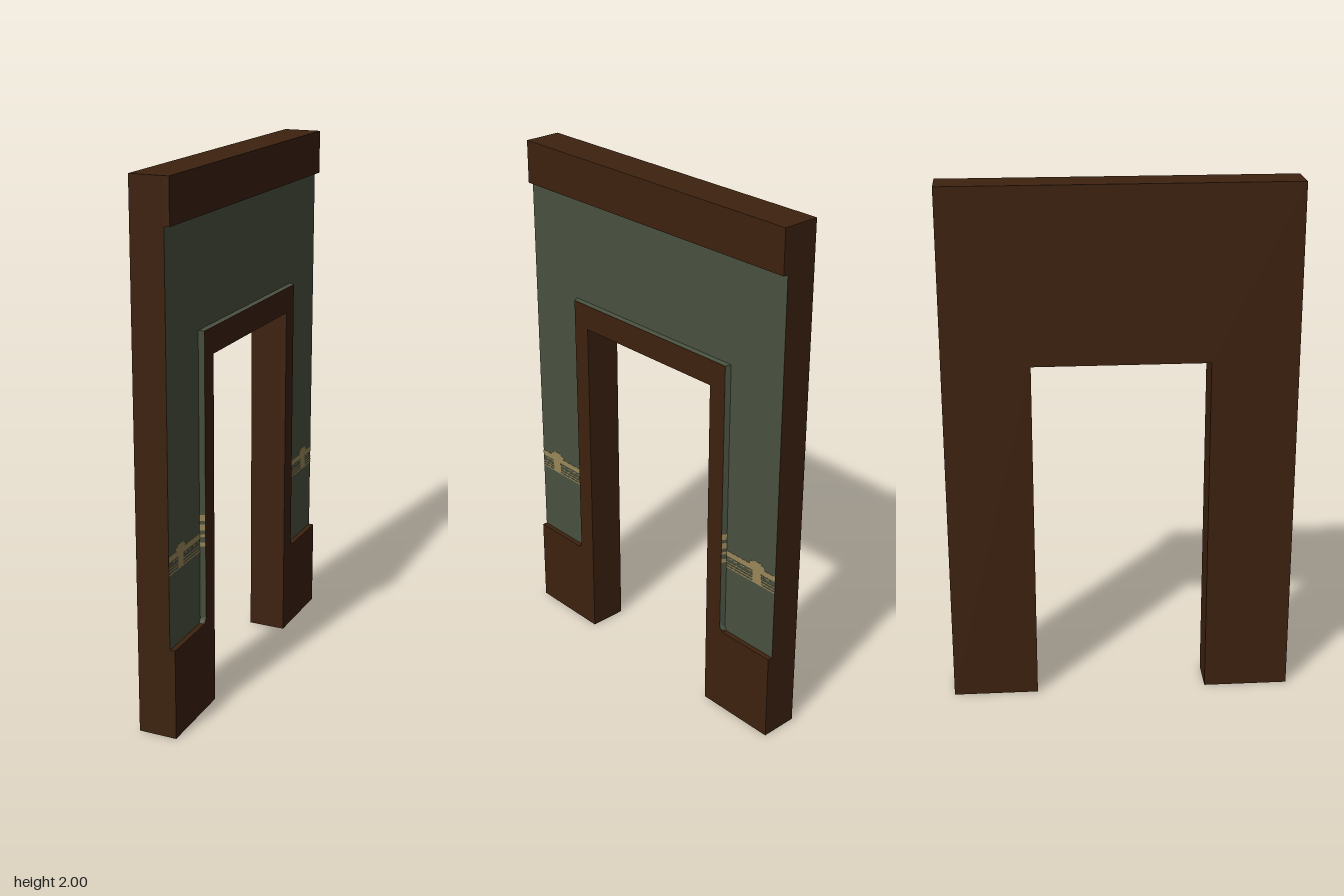
import * as THREE from 'three';

const material = (name, color, side = THREE.FrontSide) => {
  const m = new THREE.MeshStandardMaterial({ color, side });
  m.name = name;
  return m;
};

// Main dimensions: the wall lies in the z-y plane, its decorated face towards +x
const W = 0.655, H = 2, BACK = -0.073, RECESS = 0.053, FACE = 0.073;
const DOOR = 0.33, DOOR_TOP = 1.34, FRAME = 0.403, FRAME_TOP = 1.437;
const BASE = 0.345, LINTEL = 1.837;

export function createModel() {
  const model = new THREE.Group();
  model.name = 'doorwayWall';
  const wood = material('darkWood', 0x3d220f);
  const green = material('greenPlaster', 0x495140, THREE.DoubleSide);
  const tan = material('tanOrnament', 0x9b885a, THREE.DoubleSide);

  const add = (name, geometry, mat) => {
    const mesh = new THREE.Mesh(geometry, mat);
    mesh.name = name;
    model.add(mesh);
    return mesh;
  };
  // Mirrors the half outline to a closed symmetric shape
  const symmetric = (half) => new THREE.Shape([
    ...half.map(([u, v]) => new THREE.Vector2(u, v)),
    ...half.slice().reverse().map(([u, v]) => new THREE.Vector2(-u, v)),
  ]);
  const slab = (name, half, x0, x1) => {
    const g = new THREE.ExtrudeGeometry(symmetric(half), { depth: x1 - x0, bevelEnabled: false });
    add(name, g.rotateY(Math.PI / 2).translate(x0, 0, 0), wood);
  };
  // Ribbon joining two rows of [x, y, z] points
  const ribbon = (name, a, b, mat) => {
    const pos = [];
    for (let i = 0; i < a.length - 1; i++) {
      pos.push(...a[i], ...b[i], ...b[i + 1], ...a[i], ...b[i + 1], ...a[i + 1]);
    }
    const g = new THREE.BufferGeometry();
    g.setAttribute('position', new THREE.Float32BufferAttribute(pos, 3));
    g.computeVertexNormals();
    add(name, g, mat);
  };

  // Wall body with door opening
  slab('wallBody', [[DOOR, DOOR_TOP], [DOOR, 0], [W, 0], [W, H]], BACK, RECESS);
  // Raised door frame joined to the plinths
  slab('doorFrame', [[DOOR, DOOR_TOP], [DOOR, 0], [W, 0], [W, BASE], [0.418, BASE],
    [0.408, 0.352], [FRAME, 0.368], [FRAME, FRAME_TOP]], RECESS, FACE);
  // Raised top beam
  const beam = new THREE.BoxGeometry(FACE - RECESS, H - LINTEL, 2 * W);
  add('topBeam', beam.translate((FACE + RECESS) / 2, (H + LINTEL) / 2, 0), wood);

  // Recessed plaster face
  const panel = new THREE.ShapeGeometry(symmetric(
    [[FRAME, FRAME_TOP], [FRAME, BASE], [W, BASE], [W, LINTEL]]));
  add('plasterPanel', panel.rotateY(Math.PI / 2).translate(RECESS + 0.0006, 0, 0), green);

  // Slightly sloped plaster reveal around the frame
  const front = [[0.408, 0.352], [FRAME, 0.368], [FRAME, FRAME_TOP + 0.001]];
  const back = [[0.422, BASE], [0.412, 0.362], [0.412, FRAME_TOP + 0.003]];
  const row = (pts, x) => [
    ...pts.map(([z, y]) => [x, y, z]),
    ...pts.slice().reverse().map(([z, y]) => [x, y, -z]),
  ];
  ribbon('frameReveal', row(front, FACE - 0.0005), row(back, RECESS), green);

  for (const s of [1, -1]) {
    // Ornamental band: thin painted strips
    const plate = (name, y0, y1, z0, z1) => {
      const g = new THREE.BoxGeometry(0.001, y1 - y0, z1 - z0);
      add(name, g.translate(RECESS + 0.0012, (y0 + y1) / 2, s * (z0 + z1) / 2), tan);
    };
    for (const [y0, y1] of [[0.674, 0.695], [0.648, 0.652], [0.636, 0.641], [0.624, 0.63]]) {
      plate('bandStripe', y0, y1, 0.412, W);
    }
    for (let z = 0.42; z < 0.64; z += 0.032) plate('bandDash', 0.664, 0.669, z, z + 0.018);
    // Rosette centred on the band
    plate('rosetteTop', 0.695, 0.708, 0.53, 0.6);
    plate('rosetteCrown', 0.708, 0.716, 0.545, 0.585);
    plate('rosetteBody', 0.63, 0.674, 0.545, 0.588);
    // Band returns on the reveal
    for (const [y0, y1] of [[0.742, 0.765], [0.705, 0.728], [0.68, 0.69], [0.645, 0.66]]) {
      ribbon('revealStripe',
        [[FACE - 0.001, y0, s * (FRAME + 0.001)], [FACE - 0.001, y1, s * (FRAME + 0.001)]],
        [[RECESS + 0.001, y0, s * 0.413], [RECESS + 0.001, y1, s * 0.413]], tan);
    }
  }
  return model;
}
